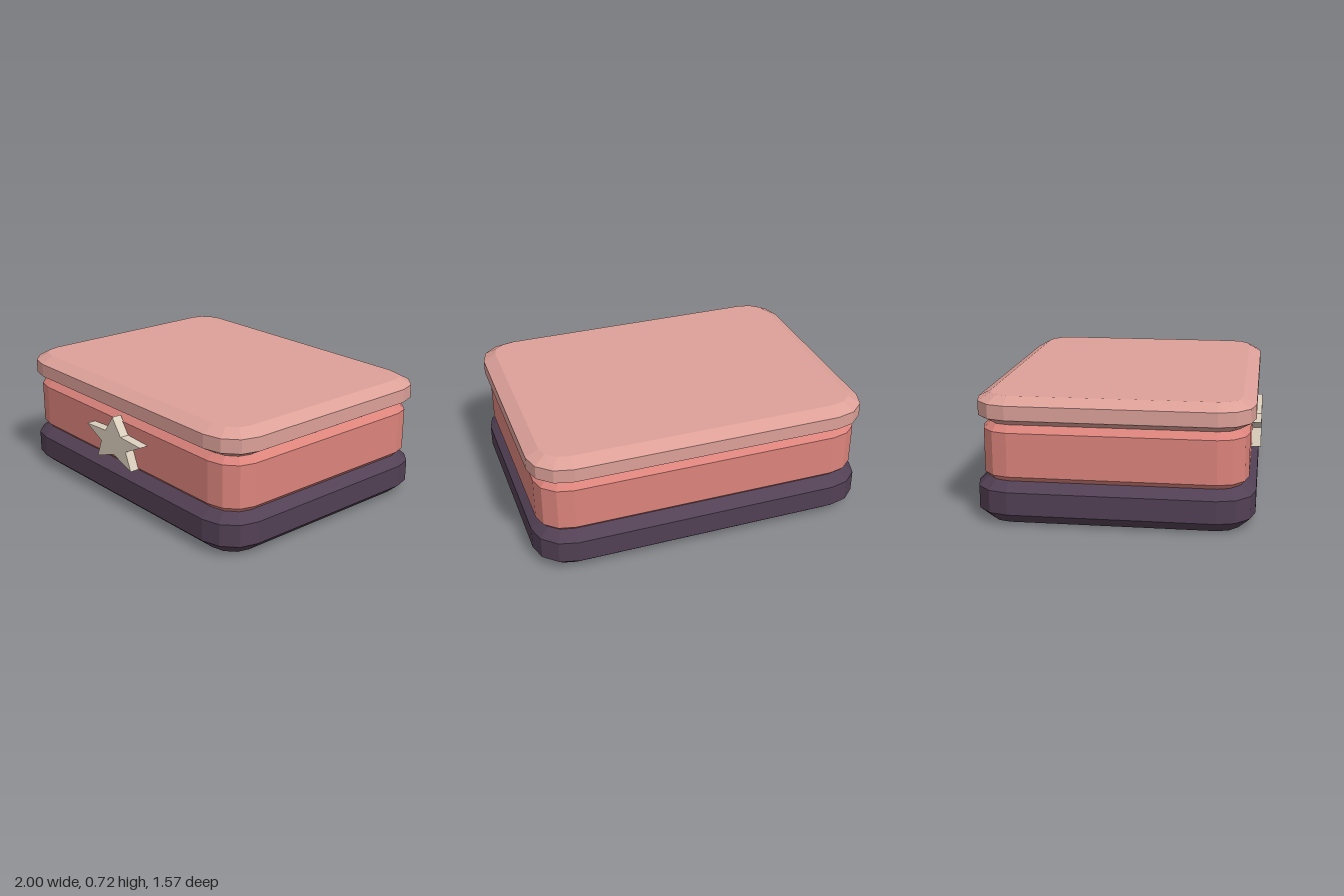
import * as THREE from 'three';

const blush = new THREE.MeshStandardMaterial({ color: 0xdca098 });
const coral = new THREE.MeshStandardMaterial({ color: 0xdc847c });
const plum = new THREE.MeshStandardMaterial({ color: 0x524054 });
const cream = new THREE.MeshStandardMaterial({ color: 0xdcd0be });
blush.name = 'blush';
coral.name = 'coral';
plum.name = 'plum';
cream.name = 'cream';

// Rounded rectangle loop: the corner centres stay fixed, so insets shrink the corner radius
const CORNER_X = 0.78, CORNER_Z = 0.57, STEPS = 3;
function roundedLoop(halfX, halfZ, y) {
  const loop = [];
  for (let q = 0; q < 4; q++) {
    const sx = q === 0 || q === 3 ? 1 : -1;
    const sz = q < 2 ? 1 : -1;
    for (let i = 0; i <= STEPS; i++) {
      const a = (q + i / STEPS) * Math.PI / 2;
      loop.push(new THREE.Vector3(
        sx * CORNER_X + Math.cos(a) * (halfX - CORNER_X), y,
        sz * CORNER_Z + Math.sin(a) * (halfZ - CORNER_Z)));
    }
  }
  return loop;
}

// Faceted slab from stacked loops; each section is [y, inset]
function slab(name, material, halfX, halfZ, sections) {
  const loops = sections.map(([y, inset]) => roundedLoop(halfX - inset, halfZ - inset, y));
  const points = [];
  const n = loops[0].length;
  const bottom = new THREE.Vector3(0, sections[0][0], 0);
  const top = new THREE.Vector3(0, sections[sections.length - 1][0], 0);
  for (let i = 0; i < n; i++) {
    const j = (i + 1) % n;
    for (let k = 0; k < loops.length - 1; k++) {
      const lo = loops[k], hi = loops[k + 1];
      points.push(lo[i], hi[i], hi[j], lo[i], hi[j], lo[j]);
    }
    const last = loops[loops.length - 1];
    points.push(bottom, loops[0][i], loops[0][j], top, last[j], last[i]);
  }
  const geometry = new THREE.BufferGeometry().setFromPoints(points);
  geometry.computeVertexNormals();
  const mesh = new THREE.Mesh(geometry, material);
  mesh.name = name;
  mesh.position.z = -0.008;
  return mesh;
}

// Five-pointed clasp, mirrored from its right half
function starClasp() {
  const half = [[0, 0.553], [0.075, 0.451], [0.262, 0.442], [0.12, 0.373], [0.165, 0.266], [0, 0.322]];
  const left = half.slice(1, -1).reverse().map(([x, y]) => [-x, y]);
  const shape = new THREE.Shape([...half, ...left].map(([x, y]) => new THREE.Vector2(x, y)));
  const geometry = new THREE.ExtrudeGeometry(shape, { depth: 0.06, bevelEnabled: false });
  const mesh = new THREE.Mesh(geometry, cream);
  mesh.name = 'starClasp';
  mesh.position.z = 0.725;
  return mesh;
}

export function createModel() {
  const model = new THREE.Group();
  model.name = 'box';
  model.add(
    slab('base', plum, 1, 0.777, [[0, 0.075], [0.065, 0], [0.193, 0], [0.247, 0.065]]),
    slab('body', coral, 0.97, 0.738, [[0.243, 0.03], [0.273, 0], [0.52, 0], [0.56, 0.04]]),
    slab('lid', blush, 1, 0.768, [[0.557, 0.07], [0.597, 0], [0.677, 0], [0.717, 0.075]]),
    starClasp()
  );
  return model;
}
